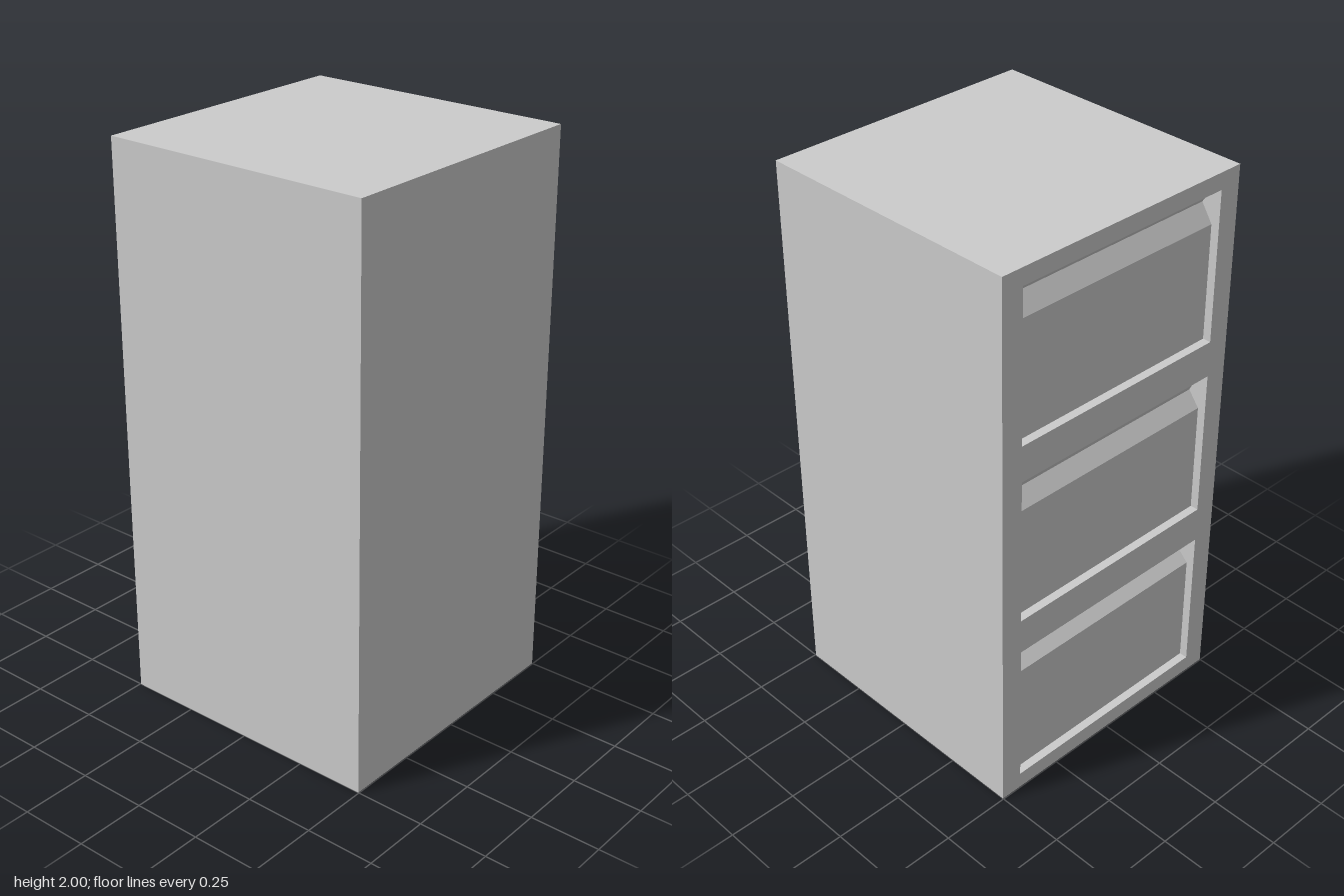
import * as THREE from 'three';

const W = 1, H = 2, D = 0.995;      // cabinet size
const HALF = 0.42;                  // half width of a drawer opening
const SETBACK = 0.03, GRIP = 0.072; // depth of drawer face and of grip groove
const BACK = -D / 2;

// Heights of each drawer: opening top, groove bottom, lip of the drawer face, opening bottom
const drawers = [
  { name: 'topDrawer', top: 1.94, groove: 1.875, lip: 1.812, bottom: 1.4 },
  { name: 'middleDrawer', top: 1.27, groove: 1.186, lip: 1.132, bottom: 0.73 },
  { name: 'bottomDrawer', top: 0.6, groove: 0.523, lip: 0.482, bottom: 0.06 },
];

// Outer shell: a box without its -z side
function shellGeometry() {
  const box = new THREE.BoxGeometry(W, H, D).translate(0, H / 2, 0);
  box.setIndex(Array.from(box.index.array).slice(0, 30));
  box.clearGroups();
  return box;
}

// Flat drawer frame with three openings
function frameGeometry() {
  const rect = (path, x, y0, y1) =>
    path.moveTo(-x, y0).lineTo(x, y0).lineTo(x, y1).lineTo(-x, y1).closePath();
  const shape = rect(new THREE.Shape(), W / 2, 0, H);
  for (const d of drawers) shape.holes.push(rect(new THREE.Path(), HALF, d.bottom, d.top));
  return new THREE.ShapeGeometry(shape).rotateY(Math.PI).translate(0, 0, BACK);
}

// Recessed drawer front: the side profile swept across, turned inside out, mouth left open
function drawerGeometry({ top, groove, lip, bottom }) {
  const profile = [[0, bottom], [SETBACK, bottom], [SETBACK, lip], [GRIP, groove], [SETBACK, top], [0, top]];
  const shape = new THREE.Shape(profile.map(([z, y]) => new THREE.Vector2(z, y)));
  const swept = new THREE.ExtrudeGeometry(shape, { depth: 2 * HALF, bevelEnabled: false });
  const source = swept.toNonIndexed ? (swept.index ? swept.toNonIndexed() : swept) : swept;
  source.rotateY(-Math.PI / 2).translate(HALF, 0, BACK);
  const p = source.attributes.position;
  const kept = [];
  for (let i = 0; i < p.count; i += 3) {
    const corners = [i, i + 2, i + 1];
    if (corners.every((c) => p.getZ(c) < BACK + 1e-4)) continue;
    for (const c of corners) kept.push(p.getX(c), p.getY(c), p.getZ(c));
  }
  const geometry = new THREE.BufferGeometry();
  geometry.setAttribute('position', new THREE.Float32BufferAttribute(kept, 3));
  geometry.computeVertexNormals();
  return geometry;
}

export function createModel() {
  const group = new THREE.Group();
  group.name = 'drawerCabinet';
  const material = new THREE.MeshStandardMaterial({ color: 0xcccccc });
  const add = (name, geometry) => {
    const mesh = new THREE.Mesh(geometry, material);
    mesh.name = name;
    group.add(mesh);
  };
  add('cabinetShell', shellGeometry());
  add('drawerFrame', frameGeometry());
  for (const d of drawers) add(d.name, drawerGeometry(d));
  return group;
}
